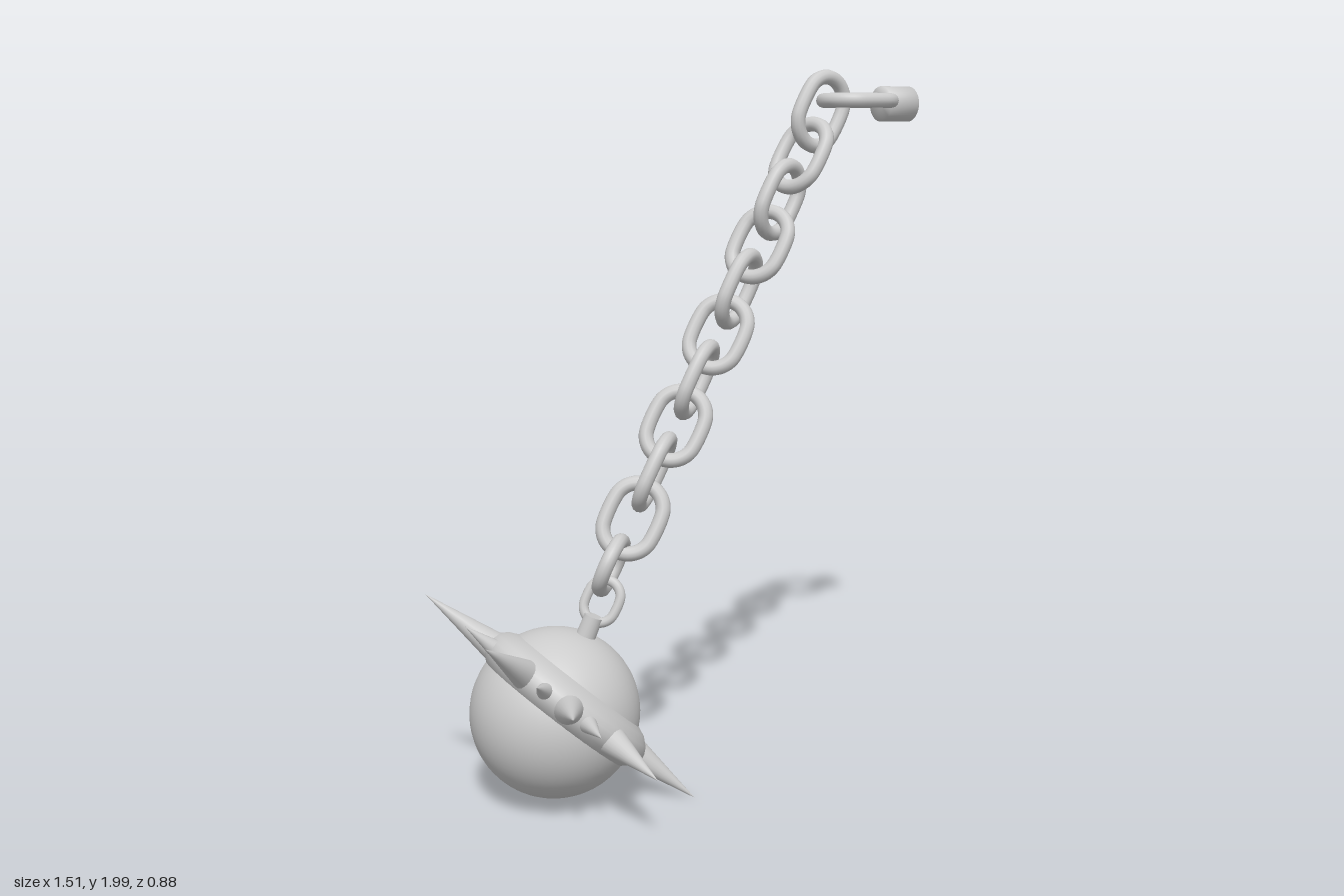
import * as THREE from 'three';

const V = (x, y, z) => new THREE.Vector3(x, y, z);
const UP = V(0, 1, 0);
const material = new THREE.MeshStandardMaterial({ color: 0xcccccc });

function add(parent, name, geometry, position, direction) {
  const mesh = new THREE.Mesh(geometry, material);
  mesh.name = name;
  mesh.position.copy(position);
  if (direction) mesh.quaternion.setFromUnitVectors(UP, direction.clone().normalize());
  parent.add(mesh);
  return mesh;
}

// Solid turned from [radius, height] points with smooth normals
const lathe = (profile) => new THREE.LatheGeometry(profile.map(([r, h]) => new THREE.Vector2(r, h)), 48);

// Oval ring of round wire: long along y, wide along x
function linkGeometry(halfLength, halfWidth, wire) {
  const points = [];
  const straight = halfLength - halfWidth;
  for (const side of [1, -1]) {
    for (let i = 0; i <= 8; i++) {
      const a = (i / 8) * Math.PI;
      points.push(V(side * halfWidth * Math.cos(a), side * (straight + halfWidth * Math.sin(a)), 0));
    }
  }
  return new THREE.TubeGeometry(new THREE.CatmullRomCurve3(points, true), 64, wire, 12, true);
}

// Turn a link so that its length and width follow the given directions
function orient(mesh, along, across) {
  const y = along.clone().normalize();
  const z = across.clone().cross(y).normalize();
  const x = y.clone().cross(z);
  mesh.quaternion.setFromRotationMatrix(new THREE.Matrix4().makeBasis(x, y, z));
}

export function createModel() {
  const model = new THREE.Group();
  model.name = 'spikedBallAndChain';

  // Ball
  const ballCentre = V(-0.45, 0.257, -0.015);
  add(model, 'ball', new THREE.SphereGeometry(0.234, 48, 32), ballCentre);

  // Tilted band around the ball
  const bandAxis = V(0.656, 0.755, 0.1).normalize();
  const bandCentre = ballCentre.clone().addScaledVector(bandAxis, 0.042);
  add(model, 'band', lathe([
    [0.2, -0.062], [0.232, -0.05], [0.256, -0.03], [0.265, -0.014], [0.268, 0],
    [0.266, 0.014], [0.257, 0.032], [0.235, 0.052], [0.2, 0.068],
  ]), bandCentre, bandAxis);

  // Spikes: long ones by their tips, short ones between neighbours
  const spikes = new THREE.Group();
  spikes.name = 'spikes';
  model.add(spikes);
  const tips = [
    [-0.467, 0.4, -0.443], [-0.248, 0.212, -0.443], [-0.116, 0.058, -0.207], [-0.126, 0.006, 0.19],
    [-0.394, 0.2, 0.44], [-0.622, 0.398, 0.415], [-0.756, 0.546, 0.2], [-0.742, 0.59, -0.207],
  ].map((p) => V(...p));
  const spike = (name, tip, radius, baseDistance) => {
    const dir = tip.clone().sub(bandCentre);
    const length = dir.length() - baseDistance;
    dir.normalize();
    const middle = bandCentre.clone().addScaledVector(dir, baseDistance + length / 2);
    add(spikes, name, new THREE.ConeGeometry(radius, length, 20, 4), middle, dir);
  };
  tips.forEach((tip) => spike('longSpike', tip, 0.042, 0.235));
  for (const [i, share, reach] of [[0, 0.45, 0.36], [1, 0.35, 0.37], [4, 0.6, 0.39], [5, 0.5, 0.36], [6, 0.7, 0.36]]) {
    const dir = tips[i].clone().lerp(tips[i + 1], share).sub(bandCentre).setLength(reach);
    spike('shortSpike', bandCentre.clone().add(dir), 0.028, 0.235);
  }

  // Post on the ball
  const postAxis = V(0.085, 0.23, 0.04).normalize();
  add(model, 'post', new THREE.CylinderGeometry(0.026, 0.028, 0.08, 24),
    ballCentre.clone().addScaledVector(postAxis, 0.25), postAxis);

  // Chain: alternating links that untwist towards the top
  const chain = new THREE.Group();
  chain.name = 'chain';
  model.add(chain);
  const bottom = V(-0.28, 0.652, 0.005);
  const top = V(0.434, 1.881, -0.02);
  const along = top.clone().sub(bottom).normalize();
  const side = along.clone().cross(V(0, 0, 1)).normalize();
  const depth = side.clone().cross(along);
  const across = (angle) => side.clone().multiplyScalar(Math.cos(angle)).addScaledVector(depth, Math.sin(angle));
  const linkShape = linkGeometry(0.101, 0.071, 0.021);
  const count = 11;
  for (let i = 0; i < count; i++) {
    const t = i / (count - 1);
    const twist = -(Math.PI / 4) * (1 - t * t) - 0.1;
    const width = across(twist + (i % 2) * Math.PI / 2);
    const link = add(chain, 'chainLink', linkShape, bottom.clone().lerp(top, t));
    // The lowest link hangs sideways
    if (i === 0) orient(link, width, along);
    else orient(link, along, width);
  }

  // Small ring joining the post to the chain
  const ring = add(chain, 'postRing', linkGeometry(0.06, 0.045, 0.014), V(-0.323, 0.562, 0.028));
  orient(ring, V(0.45, 0.87, 0.05), across(Math.PI / 4));

  // Flat end link and its anchor
  const endLink = add(chain, 'endLink', linkGeometry(0.104, 0.078, 0.021), V(0.569, 1.913, -0.026));
  orient(endLink, V(1, 0, 0), V(0, 0, 1));
  add(model, 'anchor', lathe([[0, -0.051], [0.051, -0.051], [0.051, 0.051], [0, 0.051]]),
    V(0.706, 1.904, -0.026), V(1, 0, 0));

  return model;
}
